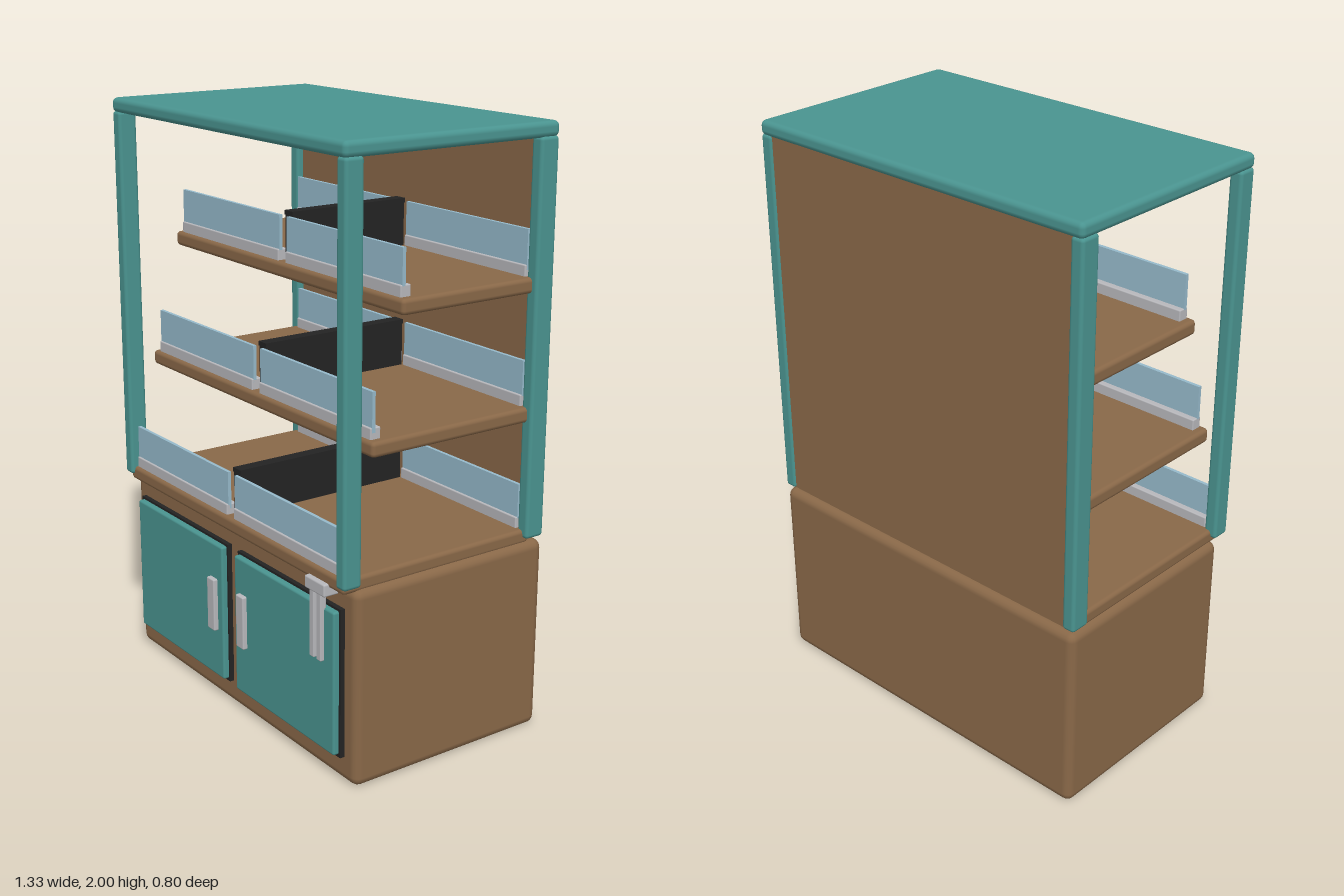
import * as THREE from 'three';
import { RoundedBoxGeometry } from 'three/addons/geometries/RoundedBoxGeometry.js';

const material = (name, color) => {
  const m = new THREE.MeshStandardMaterial({ color });
  m.name = name;
  return m;
};

export function createModel() {
  const wood = material('brown wood', 0x896848);
  const teal = material('teal paint', 0x4a9490);
  const glass = material('pale blue glass', 0x96bacb);
  const metal = material('light grey metal', 0xb8b8bc);
  const black = material('black', 0x232323);

  const model = new THREE.Group();
  model.name = 'displayCabinet';

  // Box given by its limits on each axis, optionally with rounded edges
  const box = (parent, name, mat, [x0, x1], [y0, y1], [z0, z1], radius = 0) => {
    const size = [x1 - x0, y1 - y0, z1 - z0];
    const geometry = radius
      ? new RoundedBoxGeometry(...size, 2, radius)
      : new THREE.BoxGeometry(...size);
    const mesh = new THREE.Mesh(geometry, mat);
    mesh.name = name;
    mesh.position.set((x0 + x1) / 2, (y0 + y1) / 2, (z0 + z1) / 2);
    parent.add(mesh);
    return mesh;
  };
  // Range on the x axis, flipped for the right-hand side
  const side = (s, a, b) => (s > 0 ? [a, b] : [-b, -a]);

  // Main body
  box(model, 'baseCabinet', wood, [-0.665, 0.665], [0, 0.66], [-0.4, 0.35], 0.03);
  box(model, 'canopy', teal, [-0.665, 0.665], [1.95, 2], [-0.4, 0.4], 0.018);
  box(model, 'backPanel', wood, [-0.622, 0.622], [0.675, 1.955], [-0.39, -0.35]);

  for (const s of [-1, 1]) {
    // Corner posts
    box(model, 'frontPost', teal, side(s, 0.618, 0.665), [0.672, 1.955], [0.33, 0.397], 0.012);
    box(model, 'rearPost', teal, side(s, 0.618, 0.665), [0.672, 1.955], [-0.397, -0.325], 0.012);

    // Cupboard doors with dark surrounds and handles
    const door = new THREE.Group();
    door.name = s > 0 ? 'leftDoor' : 'rightDoor';
    model.add(door);
    box(door, 'doorSurround', black, side(s, 0.031, 0.606), [0.088, 0.588], [0.335, 0.366]);
    box(door, 'doorPanel', teal, side(s, 0.038, 0.598), [0.097, 0.58], [0.34, 0.386], 0.008);
    box(door, 'doorHandle', metal, side(s, 0.068, 0.112), [0.27, 0.457], [0.38, 0.402], 0.005);
  }

  // Shelves: underside height and front edge
  const shelves = [[0.65, 0.385], [1.06, 0.28], [1.475, 0.175]];
  for (const [y, front] of shelves) {
    const shelf = new THREE.Group();
    shelf.name = 'shelf';
    model.add(shelf);
    const top = y + 0.05;
    box(shelf, 'shelfBoard', wood, [-0.645, 0.645], [y, top], [-0.352, front], 0.014);

    // Centre divider with a slightly wider cap
    box(shelf, 'divider', black, [-0.017, 0.017], [top - 0.005, top + 0.15], [-0.318, front - 0.04]);
    box(shelf, 'dividerCap', black, [-0.022, 0.022], [top + 0.145, top + 0.16], [-0.318, front - 0.04]);

    // Glass guards in metal rails along the front and rear edges
    for (const s of [-1, 1]) {
      const x = side(s, 0.02, 0.617);
      box(shelf, 'frontRail', metal, x, [top - 0.005, top + 0.036], [front - 0.05, front - 0.012], 0.004);
      box(shelf, 'frontGuard', glass, x, [top + 0.02, top + 0.147], [front - 0.03, front - 0.018]);
      box(shelf, 'rearRail', metal, x, [top - 0.005, top + 0.036], [-0.35, -0.319], 0.004);
      box(shelf, 'rearGuard', glass, x, [top + 0.02, top + 0.147], [-0.338, -0.326]);
    }
  }

  // Hanging tongs on a bracket
  const tongs = new THREE.Group();
  tongs.name = 'tongs';
  model.add(tongs);
  box(tongs, 'tongsBracket', metal, [0.466, 0.57], [0.623, 0.665], [0.34, 0.402], 0.006);
  for (const x of [0.5, 0.537]) {
    box(tongs, 'tongsArm', metal, [x - 0.012, x + 0.012], [0.403, 0.64], [0.378, 0.4], 0.004);
  }

  return model;
}
